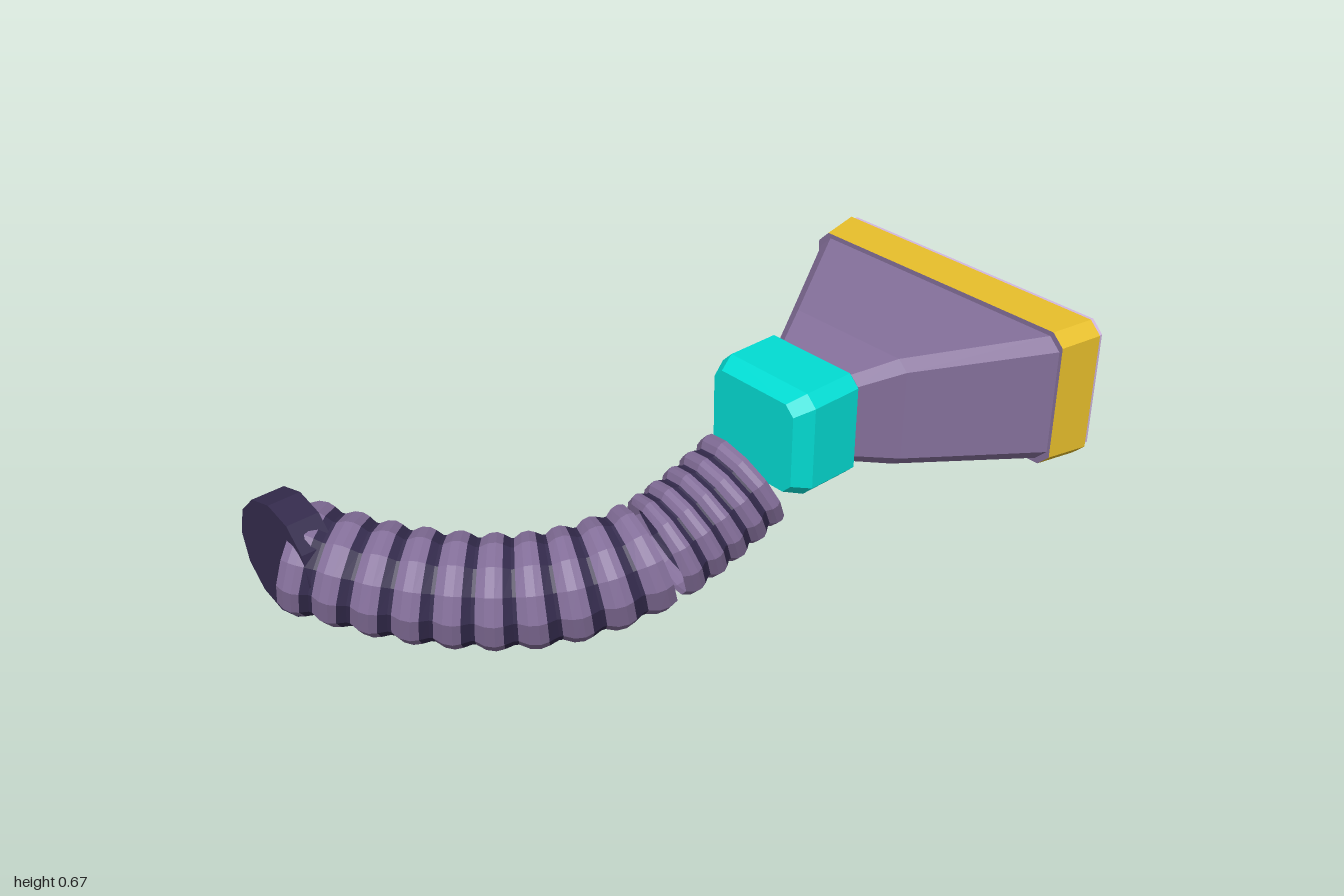
import * as THREE from 'three';

const mat = (name, color, side = THREE.FrontSide) => {
  const m = new THREE.MeshStandardMaterial({ color, side });
  m.name = name;
  return m;
};

// Flat-shaded skin through a list of rings with equal point counts
function loft(rings, capStart = false, capEnd = false) {
  const pos = [];
  const tri = (...pts) => pts.forEach(p => pos.push(p.x, p.y, p.z));
  const n = rings[0].length;
  for (let i = 0; i < rings.length - 1; i++) {
    for (let j = 0; j < n; j++) {
      const k = (j + 1) % n;
      const a = rings[i][j], b = rings[i][k], c = rings[i + 1][k], d = rings[i + 1][j];
      tri(a, d, c);
      tri(a, c, b);
    }
  }
  const last = rings[rings.length - 1];
  for (let j = 1; j < n - 1; j++) {
    if (capStart) tri(rings[0][0], rings[0][j], rings[0][j + 1]);
    if (capEnd) tri(last[0], last[j + 1], last[j]);
  }
  const g = new THREE.BufferGeometry();
  g.setAttribute('position', new THREE.Float32BufferAttribute(pos, 3));
  g.computeVertexNormals();
  return g;
}

// Rectangle with cut corners: half width, half height, corner cut, z
const NX = 0.157, NY = 0.457;
function section([w, h, c, z]) {
  return [[w, -h + c], [w, h - c], [w - c, h], [-w + c, h],
    [-w, h - c], [-w, -h + c], [-w + c, -h], [w - c, -h]]
    .map(([x, y]) => new THREE.Vector3(NX + x, NY + y, z));
}

export function createModel() {
  const model = new THREE.Group();
  const purple = mat('purple', 0x846f9a, THREE.DoubleSide);
  const dark = mat('dark violet', 0x342b4d, THREE.DoubleSide);
  const lilac = mat('lilac', 0xd2b8e0);
  const yellow = mat('mustard', 0xebc22c);
  const teal = mat('teal', 0x02dcd3);

  const add = (name, geometry, material, parent = model) => {
    const m = new THREE.Mesh(geometry, material);
    m.name = name;
    parent.add(m);
    return m;
  };

  // Nozzle: collar, flared funnel, trim band, lip and hollow mouth
  const nozzle = new THREE.Group();
  nozzle.name = 'nozzle';
  model.add(nozzle);
  const part = (name, material, sections, capStart, capEnd) =>
    add(name, loft(sections.map(section), capStart, capEnd), material, nozzle);

  part('collar', teal, [
    [0.146, 0.132, 0.028, -0.14], [0.172, 0.152, 0.032, -0.195],
    [0.172, 0.152, 0.032, -0.352], [0.148, 0.13, 0.026, -0.377]], true, true);
  part('funnel', purple, [
    [0.145, 0.13, 0.026, -0.365], [0.215, 0.162, 0.03, -0.49],
    [0.436, 0.19, 0.035, -0.84], [0.445, 0.204, 0.035, -0.84]]);
  part('trimBand', yellow, [
    [0.445, 0.204, 0.035, -0.84],
    [0.471, 0.208, 0.035, -0.965], [0.44, 0.18, 0.03, -0.965]]);
  part('lip', lilac, [
    [0.464, 0.202, 0.034, -0.964], [0.464, 0.202, 0.034, -0.984],
    [0.45, 0.19, 0.03, -1], [0.405, 0.142, 0.024, -1]]);
  part('mouthInside', dark, [
    [0.405, 0.142, 0.024, -1], [0.385, 0.138, 0.024, -0.85],
    [0.27, 0.115, 0.02, -0.65]], false, true);

  // Hose centre line, from the nozzle to the far end
  const path = new THREE.CatmullRomCurve3([
    [0.165, 0.333, -0.11], [0.15, 0.265, 0.03], [0.125, 0.205, 0.19],
    [0.065, 0.168, 0.35], [-0.02, 0.153, 0.49], [-0.14, 0.16, 0.63],
    [-0.27, 0.181, 0.75], [-0.46, 0.225, 0.89]].map(p => new THREE.Vector3(...p)));
  const SIDES = 12;
  const up = new THREE.Vector3(0, 1, 0);
  const hoseRing = (u, r) => {
    const v = Math.min(1, u);
    const centre = path.getPointAt(v), t = path.getTangentAt(v);
    const side = t.clone().cross(up).normalize();
    const top = side.clone().cross(t);
    return Array.from({ length: SIDES }, (_, j) => {
      const a = j / SIDES * Math.PI * 2;
      return centre.clone().addScaledVector(side, r * Math.cos(a)).addScaledVector(top, r * Math.sin(a));
    });
  };

  // Corrugated stretch of hose: rounded ridges, each rising from a dark band
  function corrugated(name, u0, u1, count, bandShare) {
    const hose = new THREE.Group();
    hose.name = name;
    model.add(hose);
    const pitch = (u1 - u0) / (count - bandShare);
    const strip = (part, profile, start, length, material) =>
      add(part, loft(profile.map(([f, r]) => hoseRing(start + f * length, r))), material, hose);
    for (let i = 0; i < count; i++) {
      const start = u0 + i * pitch, length = pitch * (1 - bandShare);
      strip('ridge', [[0, 0.148], [0.3, 0.154], [0.65, 0.151], [1, 0.138]], start, length, purple);
      if (i < count - 1) {
        strip('darkBand', [[0, 0.138], [0.3, 0.138], [1, 0.148]], start + length, pitch * bandShare, dark);
      }
    }
  }
  corrugated('upperHose', 0, 0.243, 5, 0.32);
  corrugated('lowerHose', 0.263, 1, 10, 0.32);

  // Disc at the far end
  const disc = add('endDisc', new THREE.CylinderGeometry(0.163, 0.163, 0.095, 12).toNonIndexed(), dark);
  disc.geometry.computeVertexNormals();
  disc.rotation.x = Math.PI / 2;
  disc.position.set(-0.47, 0.233, 0.898);

  return model;
}
